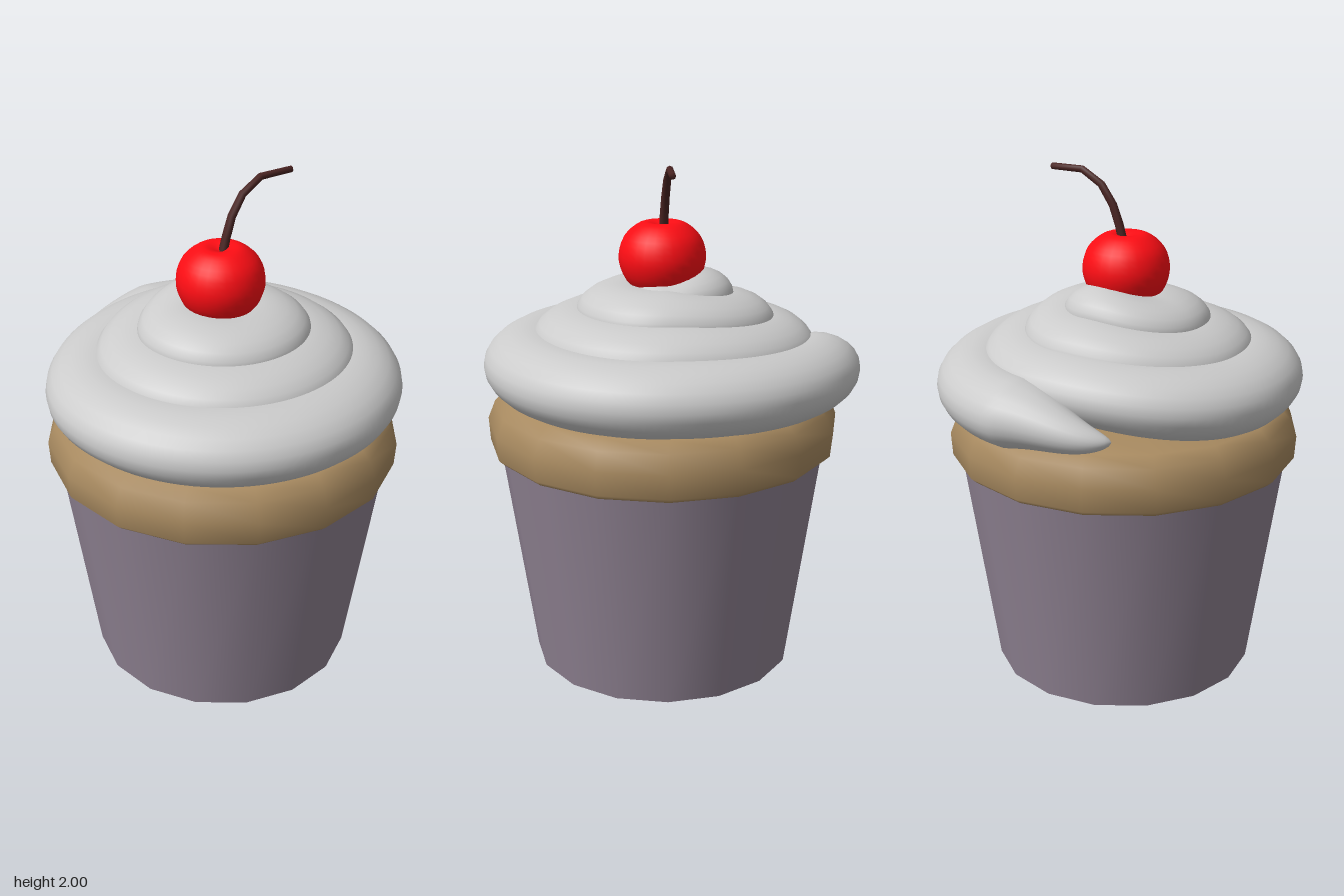
import * as THREE from 'three';

const AXIS_Z = 0.035; // the cake's axis sits slightly forward

const mat = (color, extra = {}) => new THREE.MeshStandardMaterial({ color, ...extra });

function part(name, geometry, material) {
  const mesh = new THREE.Mesh(geometry, material);
  mesh.name = name;
  return mesh;
}

// Turned shape from [radius, y] pairs, listed bottom to top
function turned(points, sides) {
  return new THREE.LatheGeometry(points.map(([r, y]) => new THREE.Vector2(r, y)), sides);
}

// Skin over elliptical rings { c, u, v, a, b }: centre, two axes and their half sizes
function loft(rings, sides) {
  const pos = [], index = [], p = new THREE.Vector3();
  rings.forEach(({ c, u, v, a, b }, i) => {
    for (let j = 0; j < sides; j++) {
      const t = (j / sides) * Math.PI * 2;
      p.copy(c).addScaledVector(u, a * Math.cos(t)).addScaledVector(v, b * Math.sin(t));
      pos.push(p.x, p.y, p.z);
      if (i === rings.length - 1) continue;
      const k = (j + 1) % sides, n = i * sides, m = n + sides;
      index.push(n + j, n + k, m + j, n + k, m + k, m + j);
    }
  });
  const g = new THREE.BufferGeometry();
  g.setAttribute('position', new THREE.Float32BufferAttribute(pos, 3));
  g.setIndex(index);
  g.computeVertexNormals();
  return g;
}

// Piped swirl: [quarter turns, spiral radius, half width, height, half height]
const SWIRL = [
  [-0.35, 0.67, 0.15, 1.17, 0.13],
  [0, 0.6, 0.17, 1.205, 0.13],
  [1, 0.5, 0.19, 1.215, 0.14],
  [2, 0.495, 0.2, 1.22, 0.14],
  [3, 0.5, 0.2, 1.22, 0.14],
  [4, 0.395, 0.2, 1.28, 0.125],
  [5, 0.3, 0.21, 1.32, 0.12],
  [6, 0.295, 0.21, 1.32, 0.12],
  [7, 0.295, 0.21, 1.325, 0.12],
  [8, 0.235, 0.2, 1.38, 0.115],
  [9, 0.15, 0.19, 1.42, 0.11],
  [10, 0.145, 0.19, 1.42, 0.11],
  [11, 0.15, 0.19, 1.43, 0.11],
  [12, 0.11, 0.165, 1.485, 0.105],
  [13, 0.05, 0.13, 1.48, 0.08],
  [14, 0.04, 0.13, 1.46, 0.07],
];

function swirlAt(q) {
  let i = 0;
  while (i < SWIRL.length - 2 && q > SWIRL[i + 1][0]) i++;
  const A = SWIRL[i], B = SWIRL[i + 1];
  const t = THREE.MathUtils.smoothstep(q, A[0], B[0]);
  return A.map((x, k) => THREE.MathUtils.lerp(x, B[k], t));
}

function icingGeometry() {
  const rings = [], steps = 300, up = new THREE.Vector3(0, 1, 0);
  const q0 = SWIRL[0][0], q1 = SWIRL[SWIRL.length - 1][0];
  for (let i = 0; i <= steps; i++) {
    // steps are closer together at the tapered outer tip
    const q = q0 + (q1 - q0) * Math.pow(i / steps, 1.3);
    const [, r, a, y, b] = swirlAt(q);
    const phi = (q * Math.PI) / 2;
    const u = new THREE.Vector3(Math.sin(phi), 0, -Math.cos(phi));
    const c = u.clone().multiplyScalar(r).add(new THREE.Vector3(0, y, AXIS_Z));
    const taper = Math.pow(Math.min(1, (q - q0) / 0.4), 0.6) * (i === steps ? 0 : 1);
    rings.push({ c, u, v: up, a: a * taper, b: b * taper });
  }
  return loft(rings, 24);
}

function stemGeometry() {
  const path = [
    [0, 1.72, 0.03], [0.018, 1.79, 0.029], [0.045, 1.865, 0.025], [0.095, 1.938, 0.02],
    [0.18, 1.987, 0.014], [0.32, 1.985, 0.01],
  ].map((p) => new THREE.Vector3(...p));
  const side = new THREE.Vector3(0, 0, 1);
  const rings = path.map((c, i) => {
    const t = path[Math.min(i + 1, path.length - 1)].clone().sub(path[Math.max(i - 1, 0)]).normalize();
    const r = THREE.MathUtils.lerp(0.018, 0.013, i / (path.length - 1));
    return { c, u: new THREE.Vector3(-t.y, t.x, 0).normalize(), v: side, a: r, b: r };
  });
  rings.push({ ...rings[rings.length - 1], a: 0, b: 0 }); // closed end
  return loft(rings, 8);
}

export function createModel() {
  const model = new THREE.Group();
  model.name = 'cupcake';

  // Paper cup, tapering to the foot
  const cup = part('cup', new THREE.CylinderGeometry(0.648, 0.518, 0.9, 16), mat(0x8f8292));
  cup.position.set(0, 0.45, AXIS_Z);

  // Sponge bulging over the rim
  const sponge = part('sponge', turned([
    [0, 0.88], [0.66, 0.88], [0.66, 0.88], [0.682, 0.9], [0.688, 0.99],
    [0.66, 1.06], [0.62, 1.1], [0.5, 1.13], [0, 1.15],
  ], 16), mat(0xa88a60));
  sponge.position.z = AXIS_Z;

  const icing = part('icing', icingGeometry(), mat(0xcccccc, { side: THREE.DoubleSide }));

  // Cherry with a dimple under the stem
  const cherryProfile = new THREE.SplineCurve([
    [0, 1.48], [0.08, 1.495], [0.14, 1.54], [0.168, 1.62], [0.15, 1.7],
    [0.1, 1.75], [0.055, 1.762], [0, 1.74],
  ].map(([r, y]) => new THREE.Vector2(r, y))).getPoints(24);
  cherryProfile.forEach((p) => { p.x = Math.max(0, p.x); });
  const cherry = part('cherry', new THREE.LatheGeometry(cherryProfile, 28), mat(0xff0d14));
  cherry.position.set(-0.01, 0, AXIS_Z);

  const stem = part('cherryStem', stemGeometry(), mat(0x4a2422));

  model.add(cup, sponge, icing, cherry, stem);
  return model;
}
